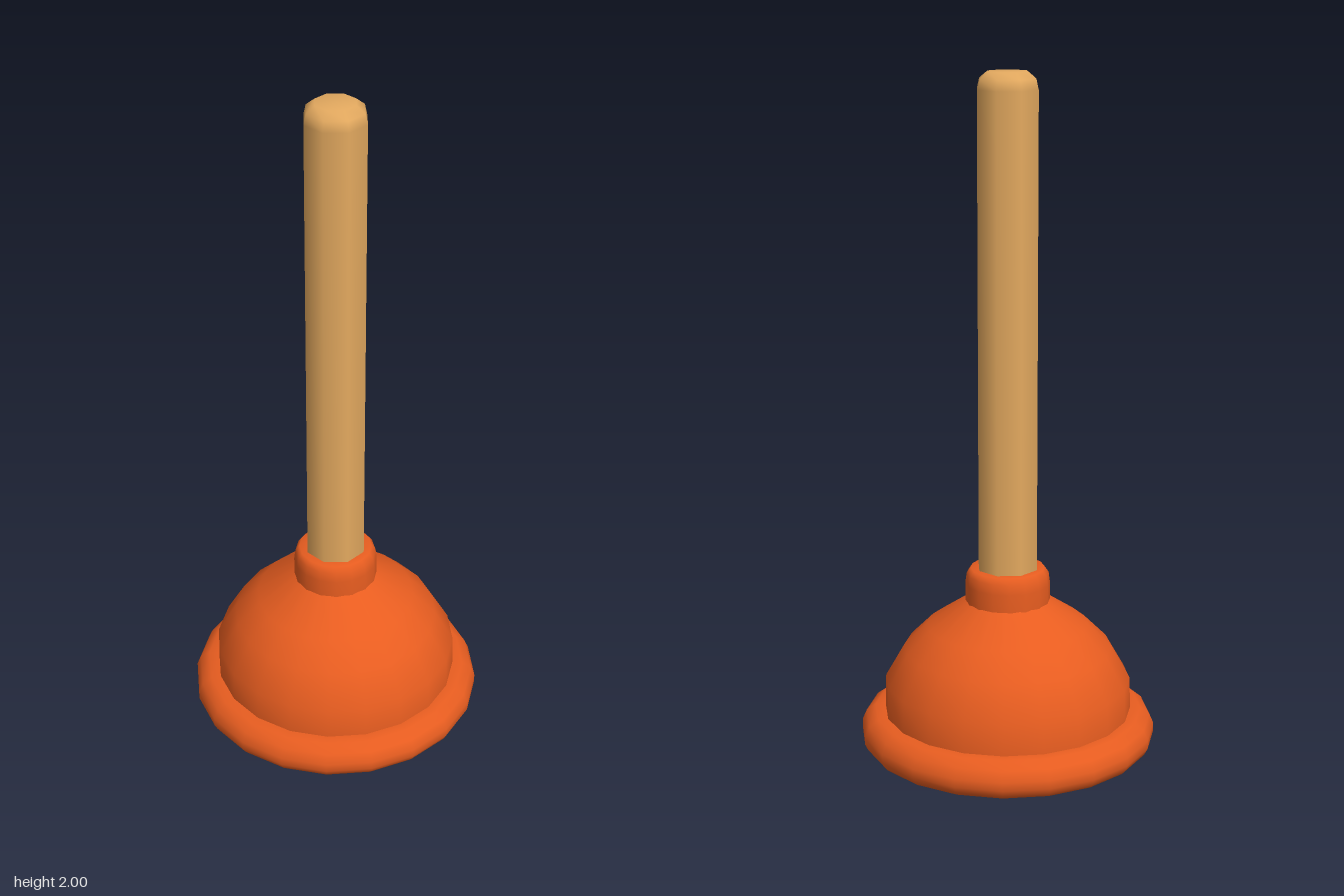
import * as THREE from 'three';

const rubber = new THREE.MeshStandardMaterial({ color: 0xe85d20 });
rubber.name = 'orange rubber';
const wood = new THREE.MeshStandardMaterial({ color: 0xe3a95f });
wood.name = 'light wood';

// Turned part: profile of [radius, height] points, running upwards for an outer face
function turned(name, material, sides, profile) {
  const points = profile.map(([r, y]) => new THREE.Vector2(r, y));
  const mesh = new THREE.Mesh(new THREE.LatheGeometry(points, sides), material);
  mesh.name = name;
  return mesh;
}

export function createModel() {
  const group = new THREE.Group();
  group.name = 'plunger';

  group.add(
    // Wooden handle with a rounded tip
    turned('handle', wood, 8, [
      [0.092, 0.45], [0.092, 1.95], [0.085, 1.98], [0.06, 2], [0, 2],
    ]),
    // Collar gripping the handle
    turned('collar', rubber, 16, [
      [0.126, 0.44], [0.126, 0.5], [0.122, 0.53], [0.11, 0.547], [0.075, 0.547],
    ]),
    // Outside of the cup
    turned('cupOutside', rubber, 20, [
      [0.37, 0.1], [0.367, 0.2], [0.31, 0.3], [0.24, 0.37], [0.12, 0.45],
    ]),
    // Conical hollow, running downwards so that it faces inwards
    turned('cupHollow', rubber, 20, [[0, 0.3], [0.41, 0.005]]),
    // Thick rolled rim with a narrow foot
    turned('rim', rubber, 20, [
      [0.41, 0.005], [0.422, 0], [0.432, 0.012], [0.441, 0.03], [0.441, 0.055],
      [0.428, 0.085], [0.4, 0.105], [0.365, 0.105],
    ]),
  );
  return group;
}
